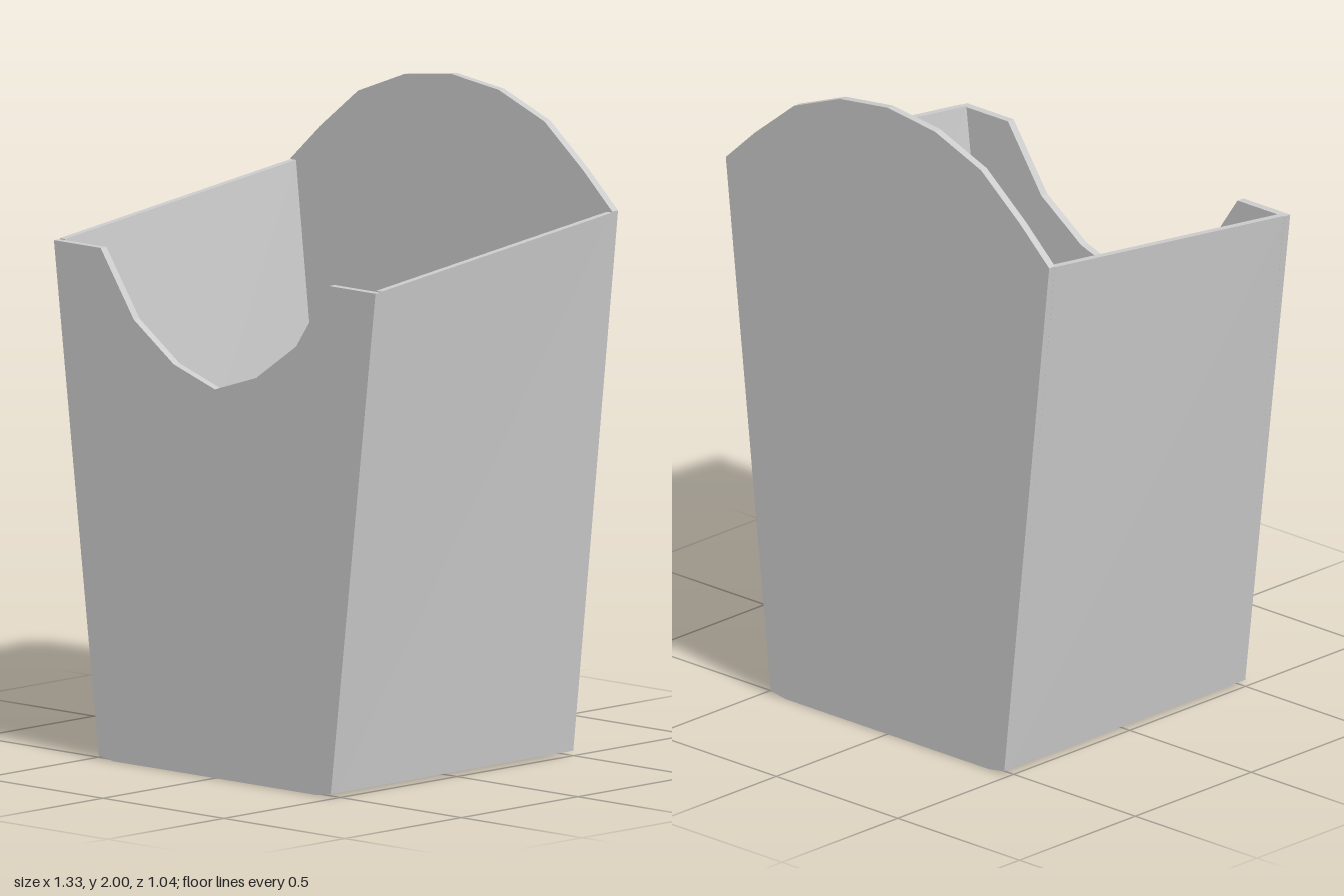
import * as THREE from 'three';

const material = new THREE.MeshStandardMaterial({ color: 0xcccccc, flatShading: true });
const DEPTH = 0.52;   // half depth
const WALL = 0.025;   // card thickness
const BOTTOM = 0.01;  // height of the walls' lower edge

function addMesh(group, name, geometry) {
  const mesh = new THREE.Mesh(geometry, material);
  mesh.name = name;
  group.add(mesh);
  return mesh;
}

// Unit box whose corners are placed by rule(sx, sy, sz), each sign being -1 or 1
function shapedBox(rule) {
  const geometry = new THREE.BoxGeometry(2, 2, 2);
  const p = geometry.attributes.position;
  for (let i = 0; i < p.count; i++) {
    p.setXYZ(i, ...rule(Math.sign(p.getX(i)), Math.sign(p.getY(i)), Math.sign(p.getZ(i))));
  }
  geometry.computeVertexNormals();
  return geometry;
}

// Symmetric upright panel; the half outline runs from the bottom corner to the centre of the top
function panel(half) {
  const left = half.slice(0, -1).reverse().map(([x, y]) => [-x, y]);
  const points = [...half, ...left].map(([x, y]) => new THREE.Vector2(x, y));
  return new THREE.ExtrudeGeometry(new THREE.Shape(points), { depth: WALL, bevelEnabled: false });
}

export function createModel() {
  const group = new THREE.Group();
  group.name = 'openCarton';

  // Front panel with the scooped opening
  addMesh(group, 'frontPanel', panel([
    [0.48, BOTTOM], [0.665, 1.545], [0.472, 1.545], [0.335, 1.345], [0.17, 1.23], [0, 1.175],
  ])).position.z = DEPTH - WALL;

  // Back panel with the arched top
  addMesh(group, 'backPanel', panel([
    [0.48, BOTTOM], [0.665, 1.665], [0.545, 1.775], [0.385, 1.903], [0.195, 1.976], [0, 2],
  ])).position.z = -DEPTH;

  // Flared side walls, their rims rising towards the back
  for (const side of [1, -1]) {
    addMesh(group, side > 0 ? 'leftWall' : 'rightWall', shapedBox((sx, sy, sz) => {
      const outer = sx === side;
      const x = sy > 0 ? (outer ? 0.665 : 0.643) : (outer ? 0.48 : 0.457);
      const y = sy < 0 ? BOTTOM : (sz > 0 ? 1.548 : 1.662);
      return [side * x, y, sz * (DEPTH - WALL)];
    }));
  }

  // Floor inside the walls and the shallow base beneath them
  addMesh(group, 'floor', shapedBox((sx, sy, sz) =>
    [sx * 0.465, sy > 0 ? 0.03 : BOTTOM, sz * (DEPTH - WALL)]));
  addMesh(group, 'base', shapedBox((sx, sy, sz) =>
    [sx * (sy > 0 ? 0.48 : 0.42), sy > 0 ? BOTTOM : 0, sz * DEPTH]));

  return group;
}
